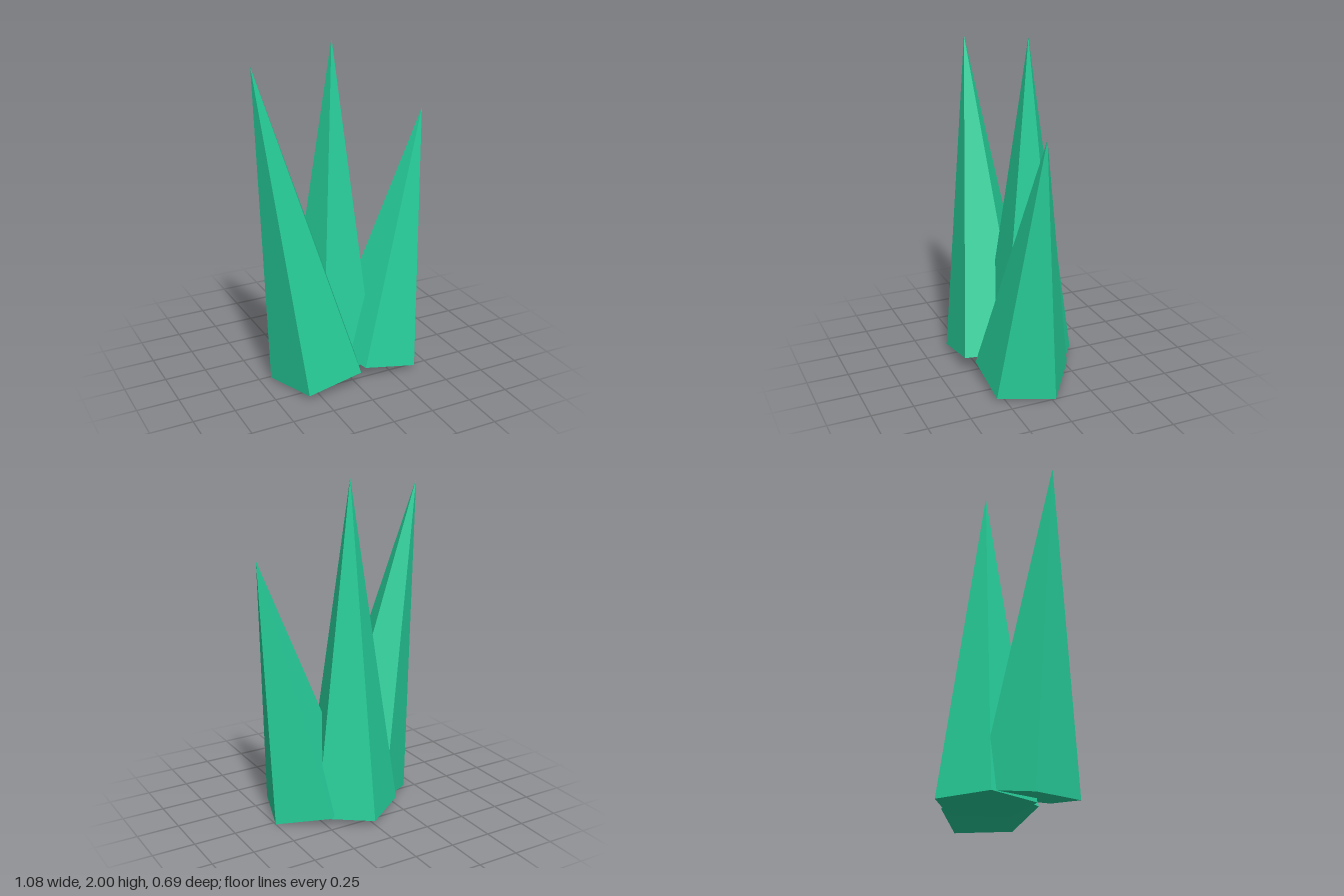
import * as THREE from 'three';

export function createModel() {
  const model = new THREE.Group();
  model.name = 'crystalCluster';
  const crystalGreen = new THREE.MeshStandardMaterial({ color: 0x26cc98, flatShading: true });
  crystalGreen.name = 'crystalGreen';

  // Five-sided shard: centre of its base, length along its axis, sideways lean
  function addShard(name, base, length, lean) {
    const geometry = new THREE.ConeGeometry(0.29, length, 5, 1, false, Math.PI);
    geometry.translate(0, length / 2, 0); // pivot at the base
    const shard = new THREE.Mesh(geometry, crystalGreen);
    shard.name = name;
    shard.position.set(...base);
    shard.rotation.z = lean;
    model.add(shard);
  }

  addShard('middleShard', [0.015, 0.04, -0.06], 1.96, 0);
  addShard('rightShard', [-0.16, 0.063, 0.11], 1.905, 0.2);
  addShard('leftShard', [0.23, 0.056, 0.065], 1.545, -0.2);
  return model;
}
